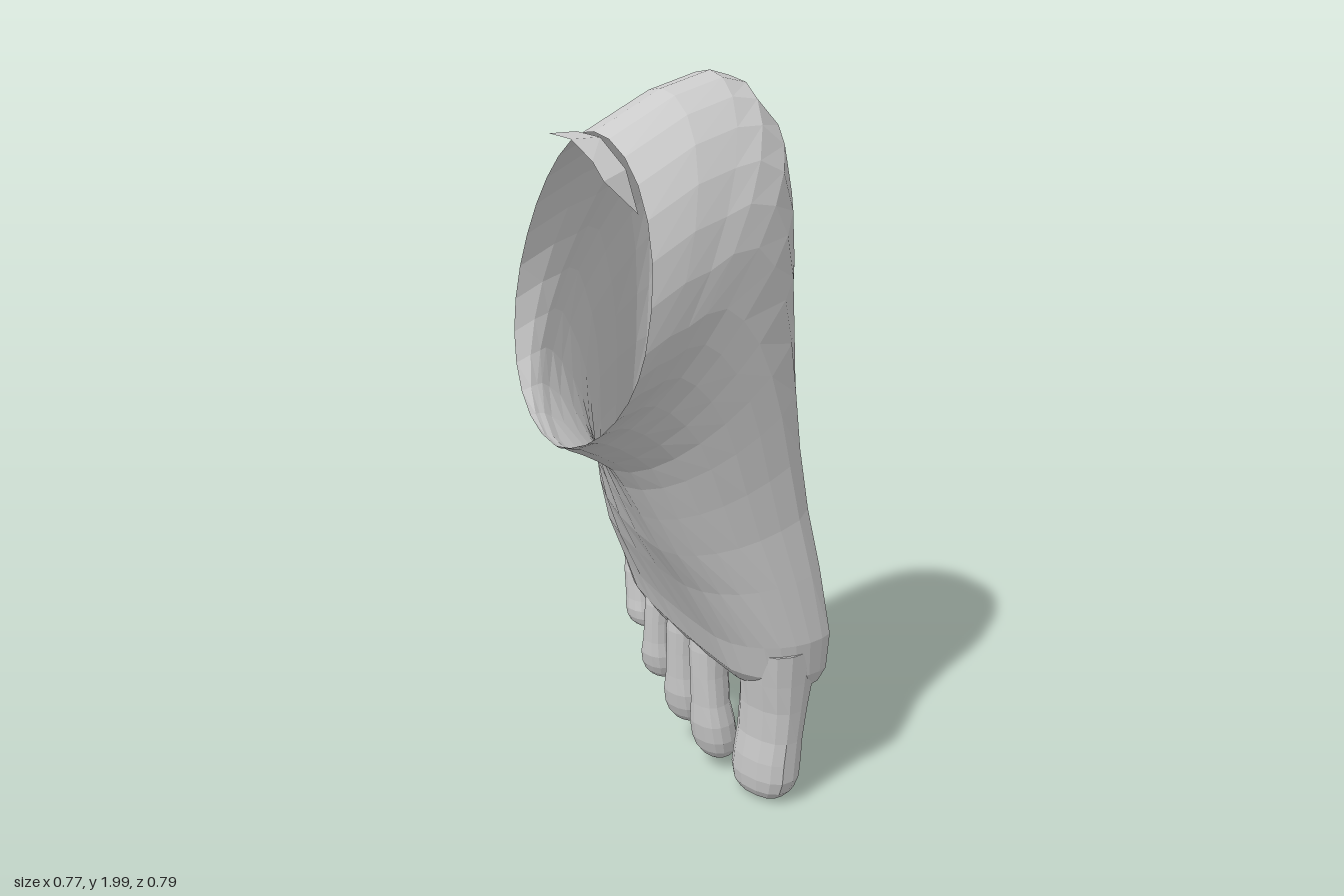
import * as THREE from 'three';

const material = new THREE.MeshStandardMaterial({ color: 0xcccccc, flatShading: true, side: THREE.DoubleSide });
const lerp = THREE.MathUtils.lerp;
const power = (v, e) => Math.sign(v) * Math.pow(Math.abs(v), e);

// Skin a list of equally sized rings, closing the first one (and the last if asked) with a fan
function loft(name, rings, capEnd) {
  const n = rings[0].length, pos = rings.flat(2), index = [];
  for (let j = 0; j < rings.length - 1; j++) {
    for (let i = 0; i < n; i++) {
      const a = j * n + i, b = j * n + (i + 1) % n;
      index.push(a, a + n, b + n, a, b + n, b);
    }
  }
  const cap = (j, flip) => {
    const c = pos.length / 3;
    pos.push(...[0, 1, 2].map(k => rings[j].reduce((s, p) => s + p[k], 0) / n));
    for (let i = 0; i < n; i++) {
      const a = j * n + i, b = j * n + (i + 1) % n;
      index.push(c, flip ? b : a, flip ? a : b);
    }
  };
  cap(0, false);
  if (capEnd) cap(rings.length - 1, true);
  const geo = new THREE.BufferGeometry();
  geo.setAttribute('position', new THREE.Float32BufferAttribute(pos, 3));
  geo.setIndex(index);
  geo.computeVertexNormals();
  const mesh = new THREE.Mesh(geo, material);
  mesh.name = name;
  return mesh;
}

// Foot sections: front y,z | back y,z | outer x, inner x | ridge x | roundness (0 flat sole, 1 ankle)
const SECTIONS = [
  [0.375, -0.23, 0.365, -0.34, -0.27, 0.32, 0.2, 0],
  [0.39, -0.18, 0.375, -0.372, -0.315, 0.35, 0.2, 0],
  [0.43, -0.145, 0.42, -0.387, -0.35, 0.37, 0.2, 0],
  [0.53, -0.108, 0.53, -0.388, -0.372, 0.382, 0.18, 0],
  [0.70, -0.02, 0.72, -0.382, -0.388, 0.36, 0.15, 0],
  [0.82, 0.055, 0.90, -0.372, -0.365, 0.338, 0.13, 0.03],
  [0.93, 0.115, 1.08, -0.362, -0.335, 0.33, 0.12, 0.1],
  [1.02, 0.165, 1.26, -0.355, -0.305, 0.33, 0.11, 0.2],
  [1.075, 0.205, 1.43, -0.348, -0.285, 0.33, 0.11, 0.32],
  [1.11, 0.255, 1.60, -0.344, -0.268, 0.33, 0.11, 0.45],
  [1.14, 0.305, 1.76, -0.34, -0.255, 0.33, 0.11, 0.6],
  [1.16, 0.345, 1.90, -0.332, -0.24, 0.33, 0.11, 0.75],
  [1.175, 0.37, 1.98, -0.27, -0.22, 0.333, 0.12, 0.9],
  [1.18, 0.385, 2.0, -0.19, -0.2, 0.335, 0.12, 1],
  [1.185, 0.393, 1.97, -0.02, -0.19, 0.34, 0.12, 1],
  [1.19, 0.4, 1.89, 0.2, -0.19, 0.345, 0.12, 1],
];

function sectionRing([fy, fz, by, bz, xOut, xIn, ridge, round], n = 28) {
  const heel = round * round;
  // hollow of the arch along the inner edge of the sole
  const arch = 0.11 * Math.sin(Math.PI * THREE.MathUtils.clamp((by - 0.6) / 1.2, 0, 1)) * (1 - heel);
  return Array.from({ length: n }, (_, i) => {
    const a = (i / n) * Math.PI * 2;
    const c = Math.abs(Math.cos(a)) < 1e-6 ? 0 : Math.cos(a), s = Math.sin(a);
    const inner = c > 0, back = s < 0;
    // boxy along the sole, steep on the inner side, sloping on the outer side
    const e = back ? lerp(0.5, inner ? 1.15 : 1, heel) : lerp(inner ? 0.9 : 1.7, 1, round);
    const ps = back ? power(s, lerp(0.5, 1, heel)) : s;
    const widest = lerp(inner ? 0.28 : 0.25, inner ? 0.64 : 0.5, round);
    const t = back ? widest * (1 + ps) : widest + (1 - widest) * ps;
    const mid = back ? lerp(0.02, 0.05, heel) : ridge;
    const side = Math.abs(power(c, e));
    const hollow = inner && back ? arch * ps * ps * side : 0;
    const x = mid + side * ((inner ? xIn : xOut) - mid) - hollow;
    // the toe line climbs towards the outer side, the ankle leans back there
    const climb = 0.17 * Math.max(0, 0.2 - x) * Math.max(0, 1 - (fy - 0.36) / 0.4);
    const lean = inner ? 0 : 0.07 * round * Math.abs(c);
    return [x, lerp(by, fy, t) + climb, lerp(bz, fz, t) - lean];
  });
}

// Toes: tip x,y,z | base x,y,z | half width, half depth | upward bend | root thickening | neck width
const TOES = [
  ['bigToe', [0.226, 0.008, -0.265], [0.272, 0.5, -0.268], 0.103, 0.07, 0, 0.85, 0.96],
  ['secondToe', [0.038, 0.042, -0.285], [0.035, 0.5, -0.255], 0.066, 0.058, 0.025, 0.5, 0.76],
  ['thirdToe', [-0.088, 0.11, -0.295], [-0.06, 0.51, -0.265], 0.064, 0.056, 0.025, 0.5, 0.7],
  ['fourthToe', [-0.205, 0.207, -0.305], [-0.175, 0.53, -0.29], 0.055, 0.053, 0.025, 0.5, 0.76],
  ['littleToe', [-0.292, 0.337, -0.32], [-0.312, 0.56, -0.318], 0.05, 0.046, 0.015, 0.3, 0.92],
];
// distance along the toe, thickness of its pad
const PAD = [[0, 0.4], [0.03, 0.7], [0.08, 0.9], [0.16, 1], [0.28, 0.98], [0.42, 0.82], [0.62, 0.76], [0.8, 0.8], [1, 0.75]];

function makeToe([name, tip, base, w, d, bend, root, neck]) {
  const rings = PAD.map(([t, r]) => {
    const [x, y, z] = tip.map((v, k) => lerp(v, base[k], t));
    const wide = w * (t > 0.3 ? Math.max(r, neck) : r), deep = d * (r + root * t * t);
    return Array.from({ length: 14 }, (_, i) => {
      const a = (i / 14) * Math.PI * 2;
      return [x + wide * power(Math.cos(a), 0.85), y, z + bend * Math.sin(Math.PI * t) + deep * power(Math.sin(a), 0.85)];
    });
  });
  return loft(name, rings, true);
}

// Small flap standing out from the top of the ankle opening
function makeFlap() {
  const inner = [[-0.01, 1.885, 0.2], [0.07, 1.88, 0.2], [0.17, 1.82, 0.215], [0.235, 1.73, 0.24]];
  const outer = [[-0.005, 1.89, 0.29], [0.07, 1.885, 0.292], [0.15, 1.845, 0.3], [0.205, 1.81, 0.318]];
  const pos = [];
  for (let i = 0; i < 3; i++) {
    pos.push(...inner[i], ...outer[i], ...outer[i + 1], ...inner[i], ...outer[i + 1], ...inner[i + 1]);
  }
  const geo = new THREE.BufferGeometry();
  geo.setAttribute('position', new THREE.Float32BufferAttribute(pos, 3));
  geo.computeVertexNormals();
  const mesh = new THREE.Mesh(geo, material);
  mesh.name = 'ankleFlap';
  return mesh;
}

export function createModel() {
  const foot = new THREE.Group();
  foot.name = 'foot';
  // Hollow body, open at the ankle
  foot.add(loft('footBody', SECTIONS.map(s => sectionRing(s)), false));
  TOES.forEach(t => foot.add(makeToe(t)));
  foot.add(makeFlap());
  return foot;
}
